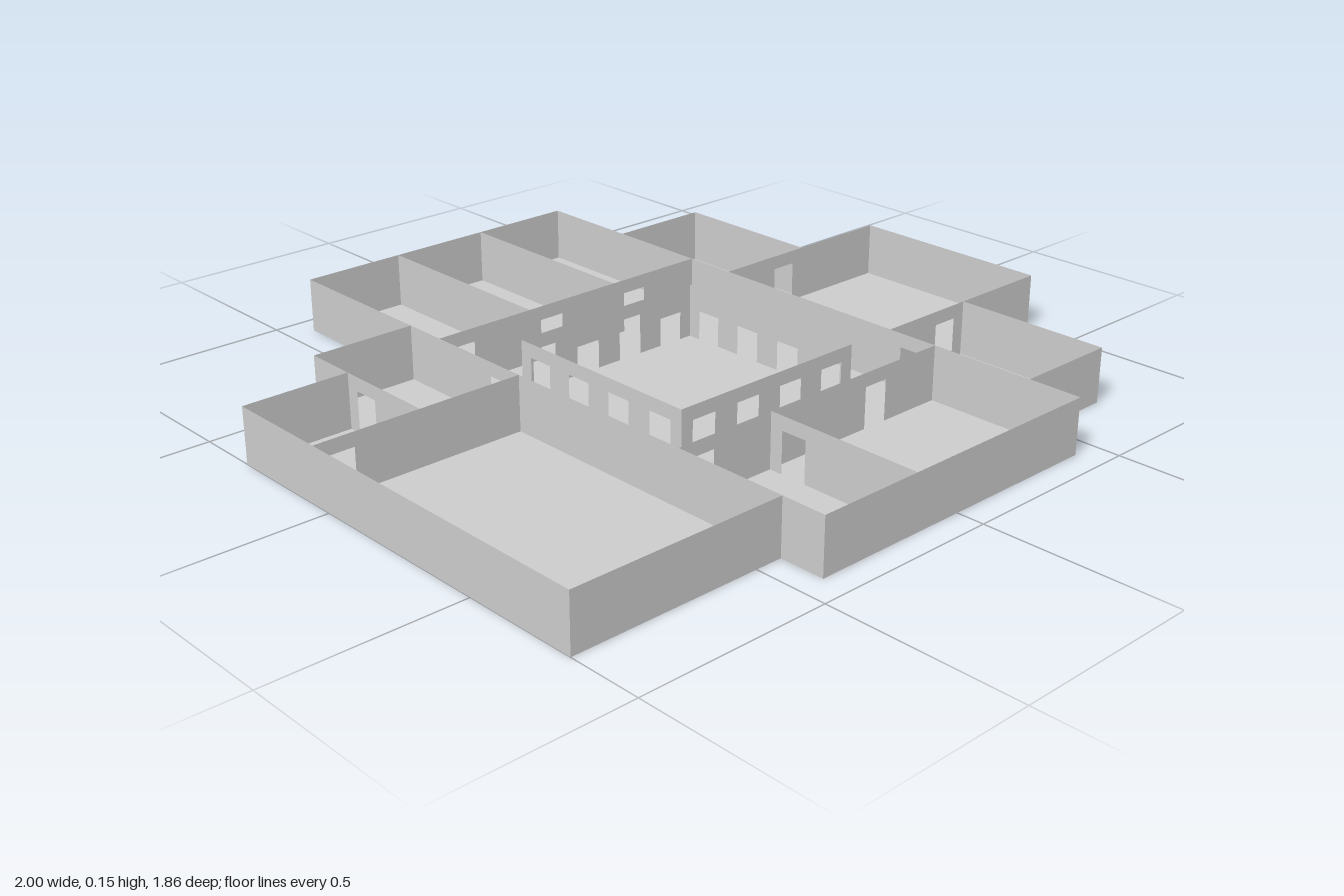
import * as THREE from 'three';

// Plan is laid out in grid cells, seven cells to one unit.
const CELL = 1 / 7, HEIGHT = 1.02, DOOR_W = 0.5, DOOR_H = 0.76;
const material = new THREE.MeshStandardMaterial({ color: 0xcccccc, side: THREE.DoubleSide });

// Thin upright wall from a to b, with door notches centred at the given positions.
function wall(name, axis, at, a, b, doors = []) {
  const s = new THREE.Shape();
  s.moveTo(a, 0);
  for (const d of doors) {
    s.lineTo(d - DOOR_W / 2, 0);
    s.lineTo(d - DOOR_W / 2, DOOR_H);
    s.lineTo(d + DOOR_W / 2, DOOR_H);
    s.lineTo(d + DOOR_W / 2, 0);
  }
  s.lineTo(b, 0);
  s.lineTo(b, HEIGHT);
  s.lineTo(a, HEIGHT);
  const mesh = new THREE.Mesh(new THREE.ShapeGeometry(s), material);
  mesh.name = name;
  if (axis === 'x') mesh.position.z = at;
  else {
    mesh.rotation.y = -Math.PI / 2;
    mesh.position.x = at;
  }
  return mesh;
}

// Flat floor slab over a rectangle of the plan.
function floor(name, x0, x1, z0, z1) {
  const mesh = new THREE.Mesh(new THREE.PlaneGeometry(x1 - x0, z1 - z0), material);
  mesh.name = name;
  mesh.rotation.x = -Math.PI / 2;
  mesh.position.set((x0 + x1) / 2, 0, (z0 + z1) / 2);
  return mesh;
}

export function createModel() {
  const model = new THREE.Group();
  model.name = 'floorPlan';
  model.scale.setScalar(CELL);
  const W0 = -7 / 3, W1 = -10 / 3, W2 = -1 / 3, W3 = 17 / 3; // west wing depths

  // Floors
  model.add(
    floor('mainFloor', -3, 3, -6.5, 6.5),
    floor('hallFloor', -7, -3, W2, W3),
    floor('westRoomFloor', -7, -5, W0, W2),
    floor('westInnerRoomFloor', -5, -3, W1, W2),
    floor('eastRoomFloor', 3, 7, -1.5, 2.5),
    floor('eastBackRoomFloor', 3, 5, -4.5, -1.5),
    floor('eastFrontRoomFloor', 3, 5, 2.5, 5.5)
  );

  // Courtyard arcade: four openings on each side
  const court = new THREE.Group();
  court.name = 'courtyard';
  const bays = [-1.5, -0.5, 0.5, 1.5];
  for (const side of [-2, 2]) {
    court.add(wall('arcadeAcross', 'x', side + 0.5, -2, 2, bays));
    court.add(wall('arcadeAlong', 'z', side, -1.5, 2.5, bays.map(b => b + 0.5)));
  }
  model.add(court);

  // Central block and the corridor around the courtyard
  model.add(
    wall('backWall', 'x', -6.5, -3, 3),
    wall('frontWall', 'x', 6.5, -3, 3),
    wall('corridorBackWall', 'x', -2.5, -3, 3, [-2.5, -0.5, 1.5]),
    wall('corridorFrontWall', 'x', 3.5, -3, 3, [-2.5, 1.5]),
    wall('westWall', 'z', -3, -6.5, 6.5, [W2 - 0.5]),
    wall('eastWall', 'z', 3, -6.5, 6.5, [3]),
    wall('backPartition', 'z', -1, -6.5, -2.5),
    wall('backPartition', 'z', 1, -6.5, -2.5),
    wall('frontPartition', 'z', -1, 3.5, 6.5, [4])
  );

  // West wing: large hall and two small rooms
  model.add(
    wall('hallFrontWall', 'x', W3, -7, -3),
    wall('hallBackWall', 'x', W2, -7, -3, [-6.5]),
    wall('westOuterWall', 'z', -7, W0, W3),
    wall('westRoomBackWall', 'x', W0, -7, -5),
    wall('westInnerRoomBackWall', 'x', W1, -5, -3),
    wall('westPartition', 'z', -5, W1, W2, [W0 + 0.5])
  );

  // East wing: main room with a smaller room on each side
  model.add(
    wall('eastOuterWall', 'z', 7, -1.5, 2.5),
    wall('eastRoomBackWall', 'x', -1.5, 3, 7, [4.5]),
    wall('eastRoomFrontWall', 'x', 2.5, 3, 7, [4.5]),
    wall('eastBackRoomSide', 'z', 5, -4.5, -1.5),
    wall('eastBackRoomEnd', 'x', -4.5, 3, 5),
    wall('eastFrontRoomSide', 'z', 5, 2.5, 5.5),
    wall('eastFrontRoomEnd', 'x', 5.5, 3, 5)
  );
  return model;
}
